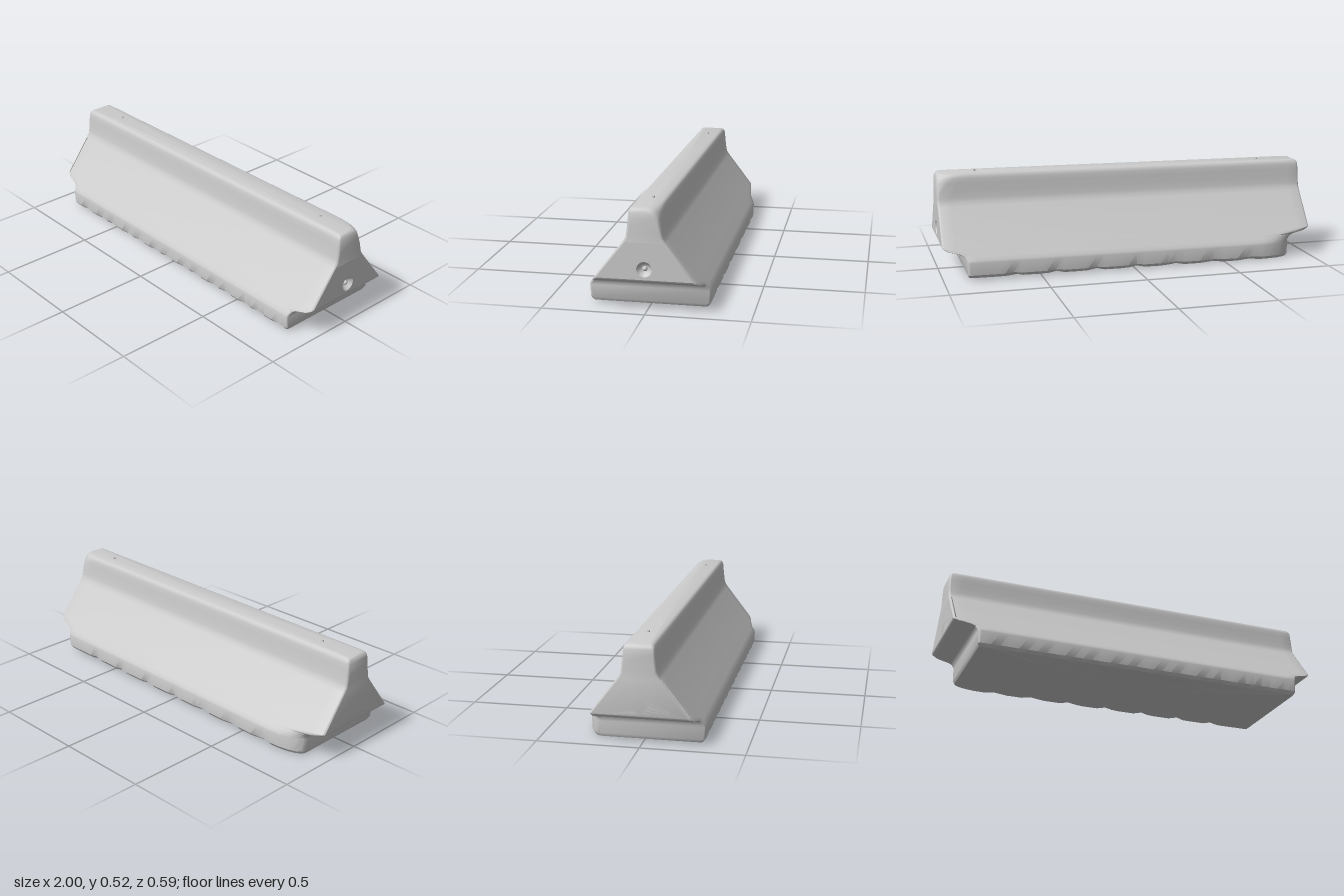
import * as THREE from 'three';
import { toCreasedNormals } from 'three/addons/utils/BufferGeometryUtils.js';

const material = new THREE.MeshStandardMaterial({ color: 0xcccccc, side: THREE.DoubleSide });
const lift = (x) => 0.0075 * (x + 1); // the block leans up slightly towards +x

// Horizontal layers: height, half depth, half length, worn corner at back +x [rx, rz], chip at back -x [rx, rz]
const layers = [
  { y: 0.0, w: 0.278, l: 0.872, chip: [0.17, 0.06], wear: 0.012 },
  { y: 0.016, w: 0.291, l: 0.88, chip: [0.18, 0.07], wear: 0.006 },
  { y: 0.08, w: 0.294, l: 0.883, chip: [0.18, 0.08] },
  { y: 0.092, w: 0.29, l: 0.885, chip: [0.17, 0.08] },
  { y: 0.11, w: 0.276, l: 0.895, chip: [0.15, 0.06] },
  { y: 0.122, w: 0.267, l: 0.92, chip: [0.16, 0.05] },
  { y: 0.135, w: 0.257, l: 0.975, chip: [0.12, 0.035] },
  { y: 0.147, w: 0.248, l: 0.995, chip: [0.07, 0.025] },
  { y: 0.156, w: 0.241, l: 1 },
  { y: 0.335, w: 0.103, l: 1 },
  { y: 0.355, w: 0.09, l: 1 },
  { y: 0.375, w: 0.085, l: 1 },
  { y: 0.41, w: 0.081, l: 1, worn: [0.03, 0.015] },
  { y: 0.45, w: 0.077, l: 0.999, worn: [0.06, 0.025] },
  { y: 0.475, w: 0.075, l: 0.997, worn: [0.09, 0.035] },
  { y: 0.489, w: 0.071, l: 0.993, worn: [0.11, 0.045] },
  { y: 0.497, w: 0.064, l: 0.985, worn: [0.12, 0.048] },
  { y: 0.5, w: 0.055, l: 0.975, worn: [0.12, 0.045] },
];
const PANEL = 8; // the end faces above this layer are left open for the socket panels
const ARC = 5;   // steps round each corner
const SIDE = 36; // steps along each long side

// One closed outline: four rounded corners, with the long sides subdivided
function ring({ y, w, l, worn = [0.015, 0.012], chip = [0.015, 0.012], wear = 0 }) {
  const pts = [];
  const radii = [[0.015, 0.012], [0.015, 0.012], chip, worn];
  const corner = (k, i) => {
    const a = (k + i / ARC) * Math.PI / 2;
    const sx = k === 0 || k === 3 ? 1 : -1, sz = k < 2 ? 1 : -1;
    const [rx, rz] = radii[k];
    return new THREE.Vector3(sx * (l - rx) + rx * Math.cos(a), y, sz * (w - rz) + rz * Math.sin(a));
  };
  for (let k = 0; k < 4; k++) {
    for (let i = 0; i <= ARC; i++) pts.push(corner(k, i));
    if (k % 2 === 0) {
      const a = corner(k, ARC), b = corner(k + 1, 0);
      for (let i = 1; i < SIDE; i++) {
        const p = a.clone().lerp(b, i / SIDE);
        // chipped bottom edges
        const c = wear * Math.max(0, Math.sin(i * 1.9 + k) * Math.sin(i * 0.63 + 2 * k));
        p.y += c * 0.7;
        p.z -= Math.sign(p.z) * c;
        pts.push(p);
      }
    }
  }
  return pts;
}

function bodyGeometry(rings) {
  const n = rings[0].length;
  const positions = rings.flat().flatMap((p) => [p.x, p.y + lift(p.x), p.z]);
  const index = [];
  const endEdges = [2 * ARC + SIDE - ARC, n - 1]; // ring edges lying on the -x and +x ends
  for (let r = 0; r < rings.length - 1; r++) {
    for (let j = 0; j < n; j++) {
      if (r === PANEL && endEdges.includes(j)) continue;
      const k = (j + 1) % n;
      const a = r * n + j, b = r * n + k, c = a + n, d = b + n;
      index.push(a, c, b, b, c, d);
    }
  }
  // flat underside and top
  const last = (rings.length - 1) * n, base = rings.length * n;
  positions.push(0, lift(0), 0, 0, 0.5 + lift(0), 0);
  for (let j = 0; j < n; j++) {
    const k = (j + 1) % n;
    index.push(base, j, k, base + 1, last + k, last + j);
  }
  const g = new THREE.BufferGeometry();
  g.setAttribute('position', new THREE.Float32BufferAttribute(positions, 3));
  g.setIndex(index);
  return toCreasedNormals(g, 0.6);
}

function add(parent, name, geometry) {
  const mesh = new THREE.Mesh(geometry, material);
  mesh.name = name;
  parent.add(mesh);
  return mesh;
}

// End face with a dished socket and a small round connector
function endSocket(side) {
  const end = new THREE.Group();
  end.name = side > 0 ? 'leftEnd' : 'rightEnd';
  const lo = layers[PANEL], hi = layers[PANEL + 1], inset = 0.012;
  const hy = 0.207, hr = 0.037;
  const shape = new THREE.Shape([
    new THREE.Vector2(-lo.w + inset, lo.y), new THREE.Vector2(lo.w - inset, lo.y),
    new THREE.Vector2(hi.w - inset, hi.y), new THREE.Vector2(-hi.w + inset, hi.y),
  ]);
  shape.holes.push(new THREE.Path().absarc(0, hy, hr, 0, Math.PI * 2, true));
  add(end, 'endPanel', new THREE.ShapeGeometry(shape, 16));

  const profile = [[0, -0.026], [0.014, -0.025], [0.024, -0.018], [hr, 0]];
  const dish = add(end, 'socketDish',
    new THREE.LatheGeometry(profile.map(([x, y]) => new THREE.Vector2(x, y)), 32));
  dish.rotation.x = Math.PI / 2;
  dish.position.y = hy;
  const knob = add(end, 'socketConnector', new THREE.SphereGeometry(0.012, 16, 10));
  knob.position.set(0, hy, -0.018);

  end.position.set(side, lift(side), 0);
  end.rotation.y = side * Math.PI / 2;
  return end;
}

export function createModel() {
  const model = new THREE.Group();
  model.name = 'concreteBarrier';
  add(model, 'barrierBody', bodyGeometry(layers.map(ring)));
  for (const side of [1, -1]) model.add(endSocket(side));

  // small lifting pins on the top
  for (const x of [-0.775, 0.795]) {
    const pin = add(model, 'liftingPin', new THREE.CylinderGeometry(0.006, 0.008, 0.02, 12));
    pin.position.set(x, 0.499 + lift(x), -0.003);
  }
  return model;
}
